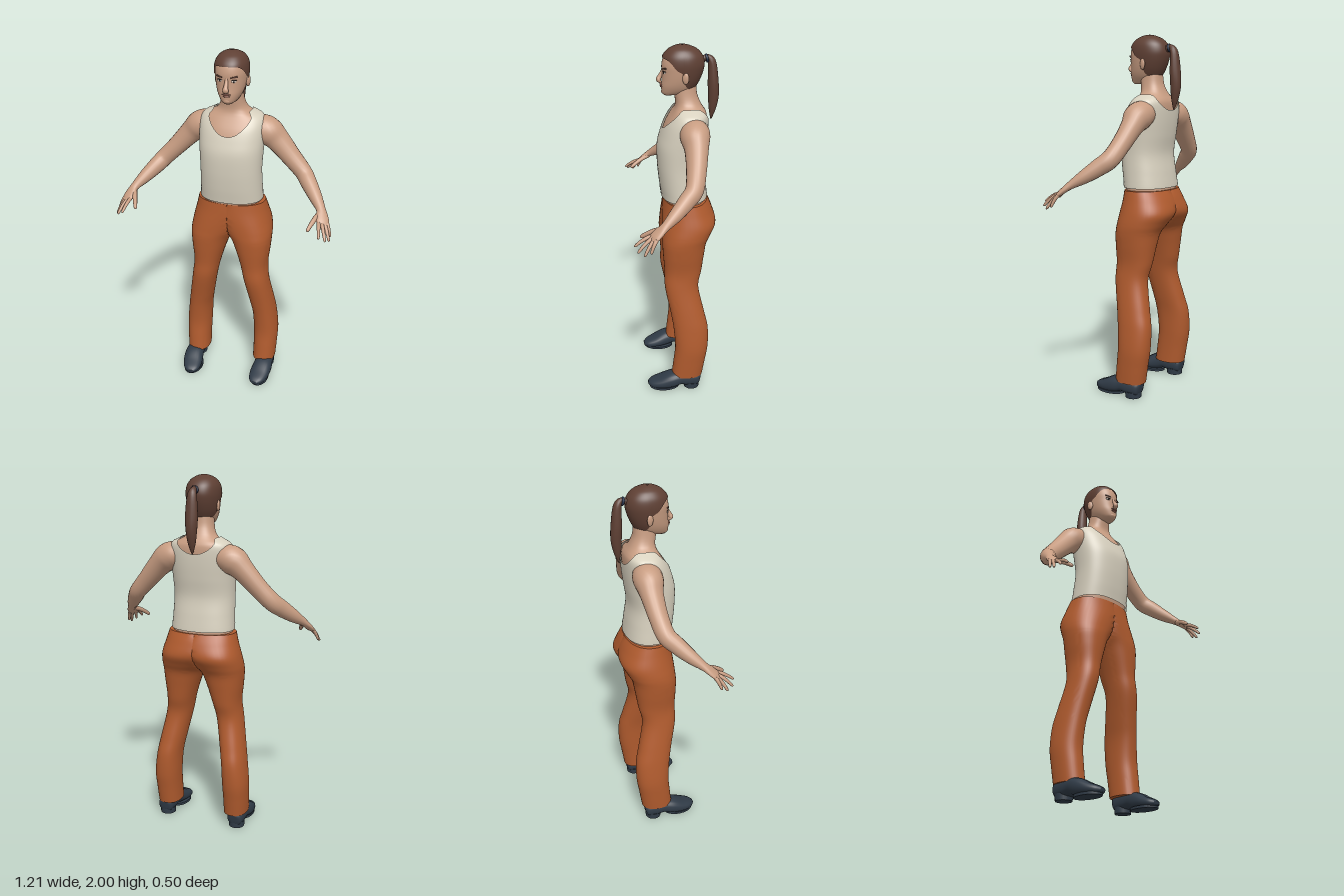
import * as THREE from 'three';
import { toCreasedNormals } from 'three/addons/utils/BufferGeometryUtils.js';

const mat = (name, color, side = THREE.FrontSide) => {
  const m = new THREE.MeshStandardMaterial({ color, side });
  m.name = name;
  return m;
};

// Catmull-Rom resampling of a table, column by column
function smooth(rows, steps = 6) {
  const out = [], last = rows.length - 1;
  for (let i = 0; i < last; i++) {
    const [a, b, c, d] = [rows[Math.max(i - 1, 0)], rows[i], rows[i + 1], rows[Math.min(i + 2, last)]];
    for (let k = 0; k < steps; k++) {
      const t = k / steps;
      out.push(b.map((p, n) => p + 0.5 * t * (c[n] - a[n] + t * (2 * a[n] - 5 * p + 4 * c[n] - d[n]
        + t * (3 * (p - c[n]) + d[n] - a[n])))));
    }
  }
  out.push(rows[last]);
  return out;
}

// Linear lookup by the first column
function lookup(rows, v) {
  let i = 1;
  while (i < rows.length - 1 && rows[i][0] < v) i++;
  const a = rows[i - 1], b = rows[i];
  const t = THREE.MathUtils.clamp((v - a[0]) / (b[0] - a[0]), 0, 1);
  return a.map((p, n) => p + (b[n] - p) * t);
}

// Skin a stack of closed rings
function skin(rings, caps = true) {
  const n = rings[0].length, pos = rings.flat(2), idx = [];
  for (let i = 0; i < rings.length - 1; i++) {
    for (let j = 0; j < n; j++) {
      const a = i * n + j, b = i * n + (j + 1) % n;
      idx.push(a, b, a + n, b, b + n, a + n);
    }
  }
  if (caps) {
    [0, rings.length - 1].forEach((r) => {
      const c = pos.length / 3;
      for (let k = 0; k < 3; k++) pos.push(rings[r].reduce((s, p) => s + p[k], 0) / n);
      for (let j = 0; j < n; j++) {
        const a = r * n + j, b = r * n + (j + 1) % n;
        if (r === 0) idx.push(c, b, a); else idx.push(c, a, b);
      }
    });
  }
  const g = new THREE.BufferGeometry();
  g.setAttribute('position', new THREE.Float32BufferAttribute(pos, 3));
  g.setIndex(idx);
  g.computeVertexNormals();
  return g;
}

const power = (v, p) => Math.sign(v) * Math.abs(v) ** (2 / p);

// Sweep an oval along rows of [x, y, z, radius along w, radius across]
function sweep(rows, w, n = 16, p = 2, floor = -1) {
  const d = smooth(rows), pt = d.map((r) => new THREE.Vector3(r[0], r[1], r[2]));
  return skin(d.map((r, i) => {
    const t = pt[Math.min(i + 1, d.length - 1)].clone().sub(pt[Math.max(i - 1, 0)]).normalize();
    const u = w.clone().addScaledVector(t, -w.dot(t)).normalize();
    const v = t.clone().cross(u);
    return Array.from({ length: n }, (_, j) => {
      const a = j / n * Math.PI * 2;
      const q = pt[i].clone().addScaledVector(u, r[3] * power(Math.cos(a), p))
        .addScaledVector(v, r[4] * power(Math.sin(a), p));
      return [q.x, Math.max(q.y, floor), q.z];
    });
  }));
}

// Upright surface from a profile of [y, half width, front z, back z],
// running between two heights that may vary with s (1 = front, -1 = back)
function upright(profile, lower, upper, grow, lift, p, caps, ease = (t) => t) {
  const rows = 44, n = 72;
  return skin(Array.from({ length: rows + 1 }, (_, i) => Array.from({ length: n }, (_, j) => {
    const a = j / n * Math.PI * 2, s = -Math.sin(a), lo = lower(s);
    const y = lo + (upper(s) - lo) * ease(i / rows);
    const [, rx, f, b] = lookup(profile, y);
    return [(rx + grow) * power(Math.cos(a), p), y + lift, (f + b) / 2 + ((f - b) / 2 + grow) * power(s, p)];
  })), caps);
}

function mirrored(geo) {
  const g = geo.clone().scale(-1, 1, 1);
  const src = g.index ? [...g.index.array] : Array.from({ length: g.attributes.position.count }, (_, i) => i);
  for (let i = 0; i < src.length; i += 3) [src[i], src[i + 1]] = [src[i + 1], src[i]];
  g.setIndex(src);
  return g;
}

export function createModel() {
  const group = new THREE.Group();
  const M = {
    skin: mat('skin', 0xc89d82), shirt: mat('shirt cream', 0xd8d1bf, THREE.DoubleSide),
    pants: mat('trouser orange', 0xb05b2e), shoe: mat('shoe slate', 0x303b47),
    hair: mat('hair brown', 0x5f4034, THREE.DoubleSide), tie: mat('hair tie blue', 0x27324a),
    lips: mat('lip', 0xa06a5a), white: mat('eye white', 0xcfc6bc), iris: mat('iris dark', 0x2e2420),
  };
  const add = (name, geo, m) => {
    const mesh = new THREE.Mesh(geo, m);
    mesh.name = name;
    group.add(mesh);
  };
  const pair = (name, geo, m) => {
    add('left' + name, geo, m);
    add('right' + name, mirrored(geo), m);
  };
  const blob = (x, y, z, a, b, c, turn = 0) =>
    new THREE.SphereGeometry(1, 18, 12).scale(a, b, c).rotateY(turn).translate(x, y, z);
  const X = new THREE.Vector3(1, 0, 0);

  // Torso and neck
  const torso = smooth([
    [1.12, .166, .05, -.18], [1.17, .168, .056, -.18], [1.25, .165, .068, -.17], [1.35, .163, .077, -.157],
    [1.45, .168, .077, -.17], [1.52, .172, .06, -.178], [1.58, .173, .038, -.182], [1.62, .168, .015, -.182],
    [1.645, .15, 0, -.178], [1.66, .118, -.008, -.168], [1.675, .092, -.013, -.158], [1.7, .073, -.014, -.145],
    [1.74, .062, -.008, -.13], [1.8, .056, 0, -.125]]);
  add('torsoAndNeck', upright(torso, () => 1.12, () => 1.8, 0, 0, 2.3, true), M.skin);
  // Tank top with scooped neckline
  add('tankTop', upright(torso, () => 1.165, (s) => 1.672 - (s > 0 ? .12 : .085) * Math.abs(s) ** 4.5,
    .009, .005, 2.3, false), M.shirt);
  const hem = torso.map(([y, rx, f, b]) => [y, rx + .006, f + .006, b - .006]);
  add('tankTopHem', upright(hem, () => 1.168, () => 1.2, .005, 0, 2.3, false), M.shirt);

  // Head
  const head = smooth([
    [1.735, .02, .045, 0], [1.745, .04, .057, -.07], [1.765, .056, .06, -.11], [1.79, .068, .061, -.128],
    [1.82, .077, .058, -.143], [1.86, .084, .057, -.157], [1.9, .087, .058, -.163], [1.94, .081, .047, -.152],
    [1.97, .062, .021, -.125], [1.986, .038, -.008, -.092], [1.993, .02, -.03, -.07], [1.996, .002, -.048, -.052]]);
  const dome = (t) => Math.sin(t * Math.PI / 2);
  add('head', upright(head, () => 1.735, () => 1.996, 0, 0, 2.15, true, dome), M.skin);

  // Hair cap follows the hairline, with a tied tail behind
  const hairline = smooth([[-1, 1.768], [-.5, 1.775], [-.2, 1.8], [0, 1.855], [.3, 1.878], [.5, 1.905], [.75, 1.926], [1, 1.932]]);
  add('hairCap', upright(head, (s) => lookup(hairline, s)[1], () => 1.996, .005, .004, 2.15, false, dome), M.hair);
  add('ponytail', sweep([
    [0, 1.915, -.15, .02, .02], [0, 1.93, -.185, .015, .015], [0, 1.9, -.208, .026, .022], [0, 1.8, -.216, .034, .029],
    [0, 1.72, -.219, .03, .029], [0, 1.65, -.214, .02, .019], [0, 1.595, -.208, .003, .003]], X), M.hair);
  add('hairTie', new THREE.TorusGeometry(.017, .007, 8, 18).rotateX(.2).translate(0, 1.925, -.18), M.tie);

  // Face
  add('nose', sweep([
    [0, 1.885, .05, .008, .006], [0, 1.86, .056, .009, .008], [0, 1.835, .068, .012, .011],
    [0, 1.818, .075, .017, .013], [0, 1.806, .066, .013, .008], [0, 1.802, .058, .006, .004]], X), M.skin);
  add('upperLip', blob(0, 1.793, .062, .024, .0045, .007), M.lips);
  add('lowerLip', blob(0, 1.783, .061, .02, .0055, .007), M.lips);
  add('chin', blob(0, 1.755, .047, .022, .015, .014), M.skin);
  pair('Ear', blob(.086, 1.84, -.06, .01, .031, .018, -.35), M.skin);
  pair('Eye', blob(.038, 1.861, .047, .0145, .006, .004, .4), M.white);
  pair('Iris', blob(.037, 1.861, .0495, .0055, .0055, .003, .4), M.iris);
  pair('Eyelid', blob(.038, 1.867, .047, .016, .003, .0055, .4), M.iris);
  pair('Brow', new THREE.BoxGeometry(.036, .007, .009).rotateZ(.15).rotateY(.42).translate(.039, 1.883, .048), M.hair);

  // Arms run into flat palms
  const across = new THREE.Vector3(-.8, .09, .4);
  pair('Arm', sweep([
    [.1, 1.575, -.1, .06, .06], [.155, 1.57, -.1, .078, .074], [.2, 1.55, -.1, .078, .076], [.25, 1.505, -.1, .065, .06],
    [.33, 1.42, -.09, .054, .051], [.4, 1.348, -.072, .047, .049], [.44, 1.307, -.03, .044, .046],
    [.49, 1.257, .03, .036, .036], [.53, 1.216, .085, .026, .022], [.543, 1.193, .115, .033, .017],
    [.553, 1.17, .142, .036, .014], [.56, 1.155, .158, .03, .008]], across, 20), M.skin);

  // Fingers as [base, tip], bowed a little
  const fingers = {
    IndexFinger: [.533, 1.169, .155, .55, 1.12, .245], MiddleFinger: [.548, 1.167, .15, .583, 1.1, .23],
    RingFinger: [.562, 1.164, .143, .6, 1.088, .197], LittleFinger: [.575, 1.164, .134, .6, 1.1, .165],
    Thumb: [.528, 1.2, .1, .482, 1.138, .212],
  };
  for (const [name, [x, y, z, X2, Y2, Z2]] of Object.entries(fingers)) {
    const r = name === 'Thumb' ? .013 : .0095;
    const at = (t, k) => [x + (X2 - x) * t, y + (Y2 - y) * t + .03 * t * (1 - t), z + (Z2 - z) * t, r * k, r * k];
    pair(name, sweep([at(0, 1.1), at(.35, 1.05), at(.7, .9), at(.94, .7), at(1, .15)], across, 10), M.skin);
  }

  // Trouser halves: [y, inner x, outer x, front z, back z], meeting at the middle
  const leg = smooth([
    [.085, .143, .278, .025, -.155], [.18, .143, .283, .014, -.17], [.28, .14, .285, .005, -.185],
    [.4, .133, .272, .014, -.185], [.5, .115, .256, .03, -.163], [.65, .085, .23, .059, -.132],
    [.75, .062, .22, .06, -.15], [.85, .03, .23, .067, -.165], [.92, 0, .236, .07, -.178],
    [.97, -.045, .236, .068, -.205], [1.03, -.1, .226, .065, -.234], [1.1, -.17, .207, .06, -.216],
    [1.155, -.193, .193, .055, -.19]]);
  const half = skin(leg.map(([y, i, o, f, b]) => Array.from({ length: 40 }, (_, j) => {
    const a = j / 40 * Math.PI * 2;
    return [Math.max(0, (i + o) / 2 + (o - i) / 2 * power(Math.cos(a), 2.25)), y,
      (f + b) / 2 - (f - b) / 2 * power(Math.sin(a), 2.25)];
  })));
  pair('TrouserLeg', toCreasedNormals(half, 1), M.pants);

  // Shoes
  pair('Shoe', sweep([
    [.222, .056, -.142, .02, .025], [.222, .058, -.128, .043, .042], [.222, .062, -.07, .05, .046],
    [.222, .065, -.02, .052, .043], [.222, .053, .03, .057, .045], [.214, .036, .09, .057, .033],
    [.206, .026, .14, .043, .022], [.203, .022, .166, .018, .01]], X, 24, 2.4, .004), M.shoe);
  pair('ShoeHeel', new THREE.CylinderGeometry(.047, .045, .035, 24).translate(.222, .0175, -.09), M.shoe);
  pair('ShoeSole', new THREE.CylinderGeometry(1, 1, .014, 28).scale(.056, 1, .088).translate(.212, .007, .07), M.shoe);
  return group;
}
